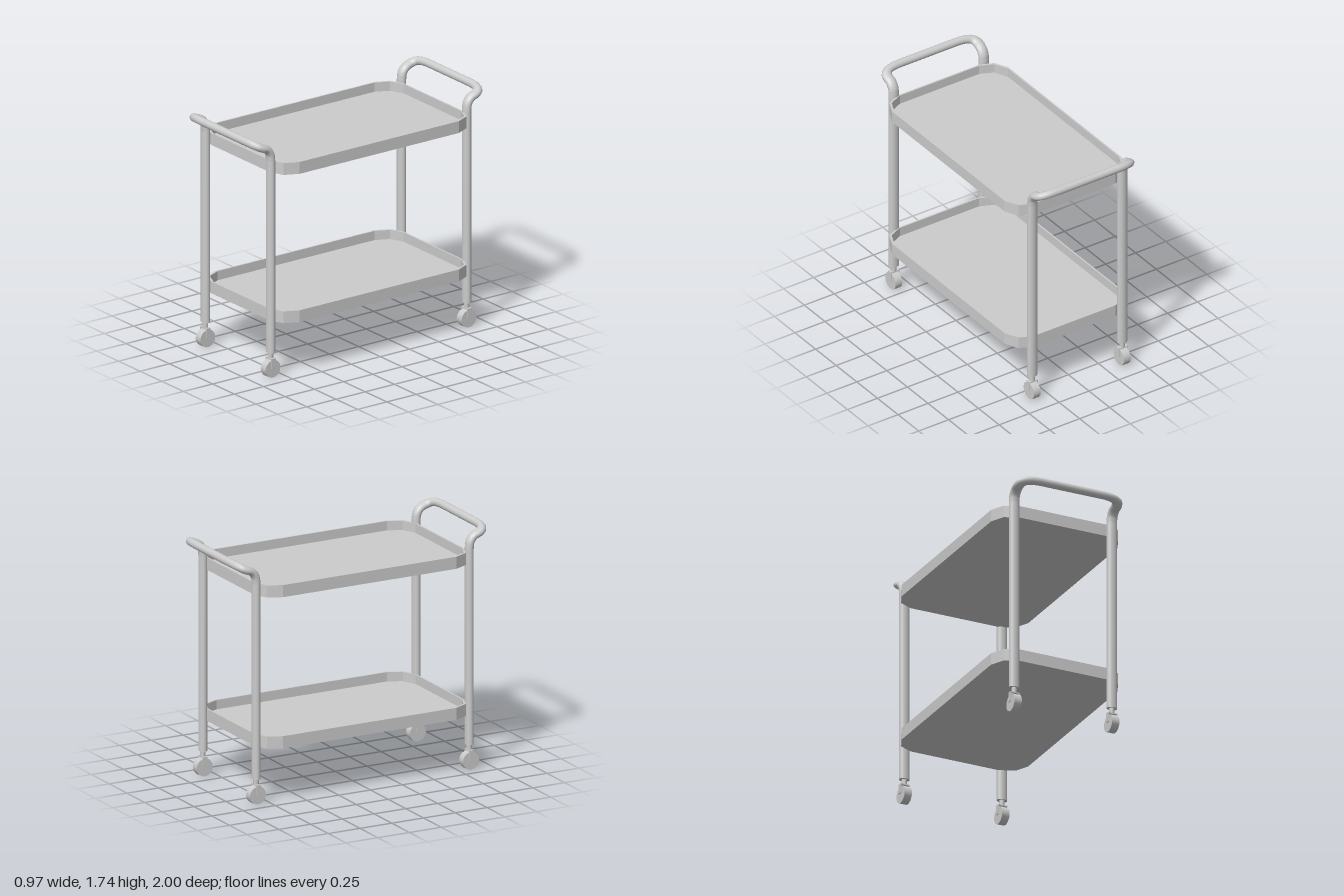
import * as THREE from 'three';

const material = new THREE.MeshStandardMaterial({ color: 0xcccccc });
const OFFSET = -0.012;   // frames sit slightly off the tray centre
const LEG_X = 0.376, LEG_Z = 0.839;
const OVAL = 1.32;       // tubes are wider in x than in z
const TUBE_R = 0.029;

function add(parent, name, geometry, x = 0, y = 0, z = 0) {
  const mesh = new THREE.Mesh(geometry, material);
  mesh.name = name;
  mesh.position.set(x, y, z);
  parent.add(mesh);
  return mesh;
}

// Rectangle with two-facet corners, shrunk by an inset
function trayPoints(inset) {
  const corner = [[0.487, 0.683], [0.44, 0.783], [0.342, 0.827]]
    .map(([x, z]) => [x - inset, z - inset]);
  const back = [...corner].reverse();
  return [
    ...corner,
    ...back.map(([x, z]) => [-x, z]),
    ...corner.map(([x, z]) => [-x, -z]),
    ...back.map(([x, z]) => [x, -z]),
  ].map(([x, z]) => new THREE.Vector2(x, z));
}

function extrudeUp(shape, depth) {
  return new THREE.ExtrudeGeometry(shape, { depth, bevelEnabled: false }).rotateX(-Math.PI / 2);
}

function createTray(name, y) {
  const tray = new THREE.Group();
  tray.name = name;
  tray.position.y = y;
  const rim = new THREE.Shape(trayPoints(0));
  rim.holes.push(new THREE.Path(trayPoints(0.012)));
  add(tray, 'trayRim', extrudeUp(rim, 0.087));
  add(tray, 'trayFloor', extrudeUp(new THREE.Shape(trayPoints(0.011)), 0.02));
  return tray;
}

// One bent tube: leg, handle, leg
function createFrame(name) {
  const frame = new THREE.Group();
  frame.name = name;
  const bend = [
    [LEG_X, 1.59, LEG_Z], [LEG_X, 1.635, 0.846], [LEG_X, 1.67, 0.872],
    [LEG_X, 1.69, 0.918], [0.358, 1.705, 0.948], [0.315, 1.714, 0.964], [0.25, 1.717, 0.971],
  ];
  const side = (s) => bend.map(([x, y, z]) => new THREE.Vector3(s * x / OVAL, y, z));
  const left = side(1), right = side(-1).reverse();
  const foot = (s) => new THREE.Vector3(s * LEG_X / OVAL, 0.18, LEG_Z);
  const path = new THREE.CurvePath();
  path.add(new THREE.LineCurve3(foot(1), left[0]));
  path.add(new THREE.CatmullRomCurve3(left));
  path.add(new THREE.LineCurve3(left[6], right[0]));
  path.add(new THREE.CatmullRomCurve3(right));
  path.add(new THREE.LineCurve3(right[6], foot(-1)));
  add(frame, 'legsAndHandle', new THREE.TubeGeometry(path, 200, TUBE_R, 16)).scale.x = OVAL;
  for (const s of [-1, 1]) {
    const cap = new THREE.CircleGeometry(TUBE_R, 16).rotateX(Math.PI / 2);
    add(frame, 'legEnd', cap, s * LEG_X, 0.18, LEG_Z).scale.x = OVAL;
  }
  return frame;
}

function createCaster(x, z) {
  const caster = new THREE.Group();
  caster.name = 'caster';
  caster.position.set(x, 0, z);
  add(caster, 'stem', new THREE.CylinderGeometry(0.019, 0.019, 0.055, 12), 0, 0.16, 0);
  add(caster, 'forkTop', new THREE.BoxGeometry(0.072, 0.008, 0.036), 0, 0.137, 0);
  for (const s of [-1, 1]) {
    add(caster, 'forkSide', new THREE.BoxGeometry(0.006, 0.07, 0.036), s * 0.033, 0.105, 0);
  }
  const wheel = new THREE.CylinderGeometry(0.064, 0.064, 0.056, 14).rotateZ(Math.PI / 2);
  add(caster, 'wheel', wheel, 0, 0.064, 0);
  add(caster, 'axle', new THREE.CylinderGeometry(0.008, 0.008, 0.07, 8).rotateZ(Math.PI / 2), 0, 0.078, 0);
  return caster;
}

export function createModel() {
  const cart = new THREE.Group();
  cart.name = 'servingCart';
  cart.add(createTray('lowerTray', 0.4), createTray('upperTray', 1.487));

  // Front and back tube frames
  const front = createFrame('frontFrame');
  const back = createFrame('backFrame');
  back.rotation.y = Math.PI;
  front.position.x = back.position.x = OFFSET;
  cart.add(front, back);

  for (const sx of [-1, 1]) {
    for (const sz of [-1, 1]) cart.add(createCaster(OFFSET + sx * LEG_X, sz * LEG_Z));
  }
  return cart;
}
